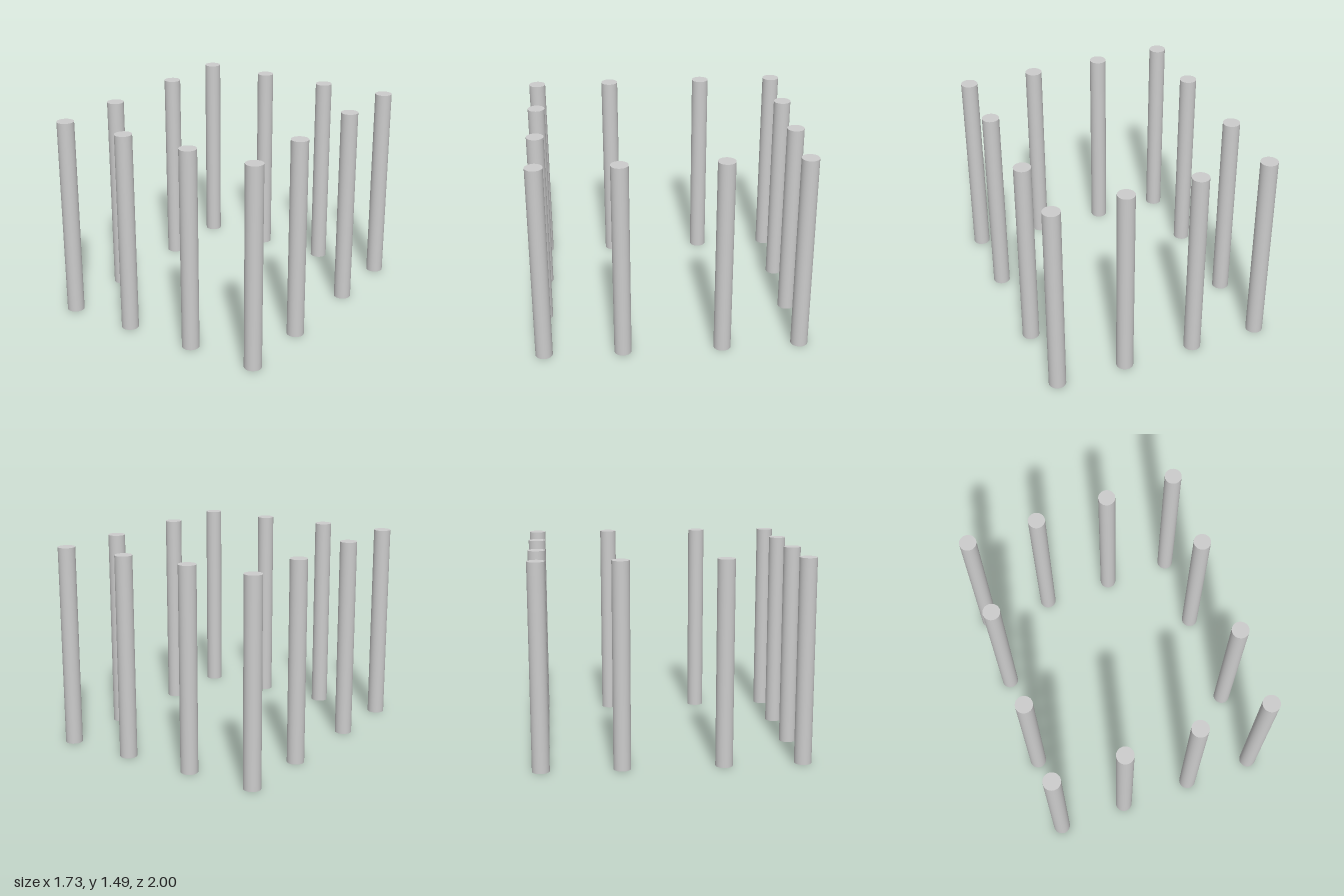
import * as THREE from 'three';

// Twelve free-standing round posts around a rectangle
export function createModel() {
  const radius = 0.063, height = 1.49;
  const group = new THREE.Group();
  group.name = 'postRing';
  const material = new THREE.MeshStandardMaterial({ color: 0xcccccc });
  const geometry = new THREE.CylinderGeometry(radius, radius, height, 32);
  geometry.translate(0, height / 2, 0);

  // One quadrant of positions, mirrored to the other three
  const quadrant = [
    ['cornerPost', 0.795, 0.937],
    ['endPost', 0.272, 0.937],
    ['sidePost', 0.8, 0.364],
  ];
  for (const [name, x, z] of quadrant) {
    for (const sx of [-1, 1]) {
      for (const sz of [-1, 1]) {
        const post = new THREE.Mesh(geometry, material);
        post.name = name + (sz > 0 ? 'Front' : 'Back') + (sx > 0 ? 'Left' : 'Right');
        post.position.set(sx * x, 0, sz * z);
        group.add(post);
      }
    }
  }
  return group;
}
